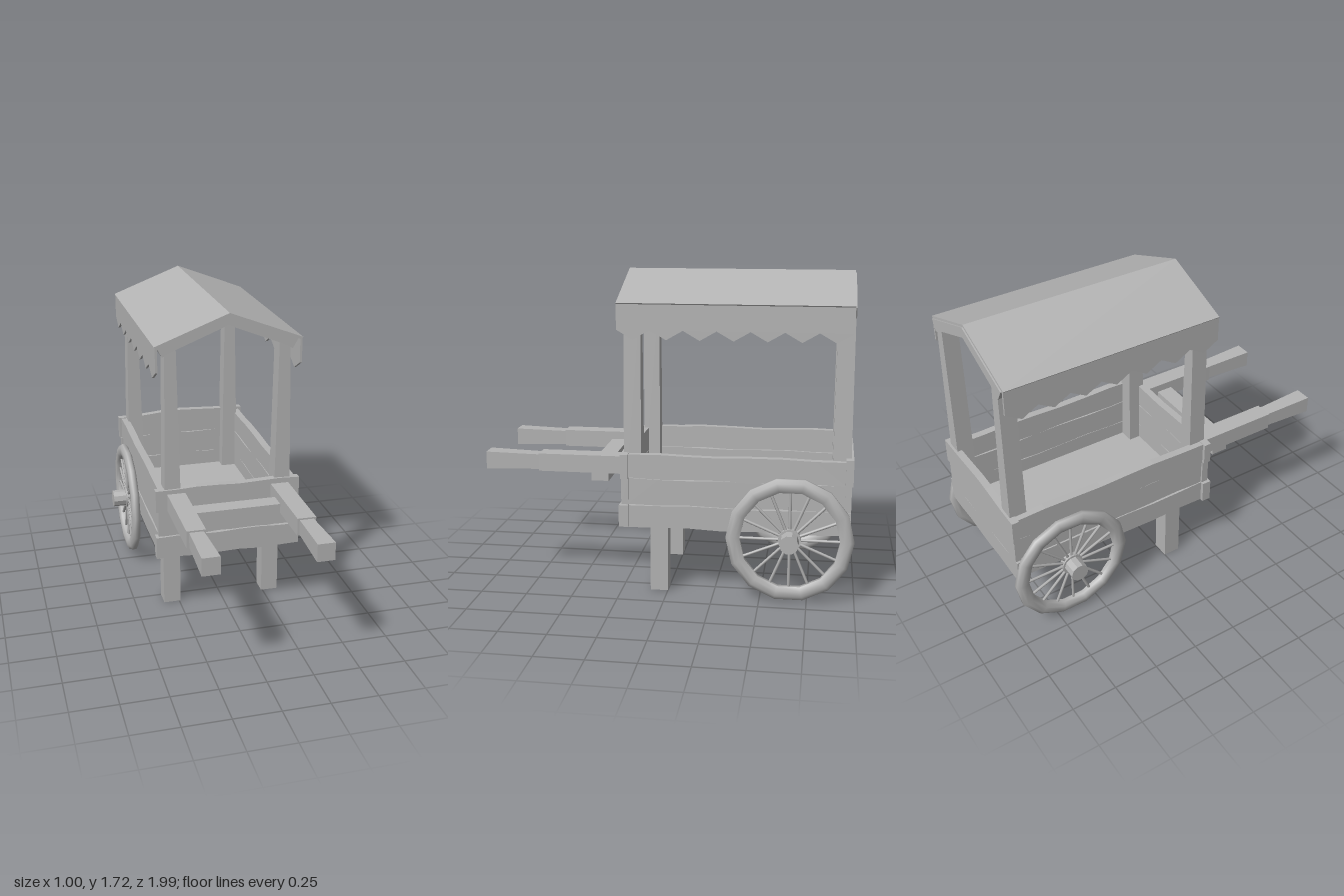
import * as THREE from 'three';

export function createModel() {
  const cart = new THREE.Group();
  cart.name = 'handcart';
  const wood = new THREE.MeshStandardMaterial({ color: 0xb4b4b4 });
  wood.name = 'grey wood';

  const add = (name, geometry, parent = cart) => {
    const mesh = new THREE.Mesh(geometry, wood);
    mesh.name = name;
    parent.add(mesh);
    return mesh;
  };
  // box given by its limits on each axis
  const block = (name, x0, x1, y0, y1, z0, z1) =>
    add(name, new THREE.BoxGeometry(x1 - x0, y1 - y0, z1 - z0)
      .translate((x0 + x1) / 2, (y0 + y1) / 2, (z0 + z1) / 2));
  // outline in x, y extruded from z0 to z1
  const prism = (pts, z0, z1) => new THREE.ExtrudeGeometry(
    new THREE.Shape(pts.map(p => new THREE.Vector2(...p))),
    { depth: z1 - z0, bevelEnabled: false }).translate(0, 0, z0);
  // box along y whose top is scaled by sx, sz
  const taper = (w, h, d, sx, sz) => {
    const g = new THREE.BoxGeometry(w, h, d);
    const p = g.attributes.position;
    for (let i = 0; i < p.count; i++) {
      if (p.getY(i) > 0) p.setXYZ(i, p.getX(i) * sx, p.getY(i), p.getZ(i) * sz);
    }
    g.computeVertexNormals();
    return g;
  };
  // plank outline with slightly worn long edges
  const plank = (u0, u1, y0, y1, seed, wear = 0.004) => {
    const low = [], high = [], n = 7;
    for (let i = 0; i <= n; i++) {
      const u = u0 + (u1 - u0) * i / n;
      low.push([u, y0 + wear * Math.sin(i * 2.1 + seed)]);
      high.unshift([u, y1 + wear * Math.sin(i * 1.7 + seed * 2)]);
    }
    return [...low, ...high];
  };

  // end boards: bottom, top, half width, outward offset
  const rows = [[0.37, 0.495, 0.405, 0.012], [0.495, 0.638, 0.39, 0], [0.64, 0.77, 0.403, 0.003]];
  rows.forEach(([y0, y1, w, o], i) => {
    add('frontPlank', prism(plank(-w, w, y0, y1, i), 0.205, 0.243 + o));
    if (i < 2) add('backPlank', prism(plank(-w, w, y0, y1, i + 4), -0.968, -0.935));
  });
  // top back board rises a little in the middle
  add('backPlank', prism([[-0.4, 0.64], [0.4, 0.64], [0.4, 0.78], [0.22, 0.782], [0, 0.792],
    [-0.1, 0.788], [-0.28, 0.772], [-0.4, 0.77]], -0.975, -0.935));

  // side boards
  for (const s of [-1, 1]) {
    rows.forEach(([y0, y1], i) => {
      const t = i === 1 ? 0.036 : 0.042;
      const pts = plank(-0.94, 0.21, y0, y1 - 0.003, i + s + 2);
      add('sidePlank', prism(pts, -t / 2, t / 2).rotateY(-Math.PI / 2)
        .translate(s * (0.343 + t / 2), 0, 0));
    });
  }
  block('floor', -0.36, 0.36, 0.385, 0.405, -0.95, 0.22);

  // legs, handles and grips
  for (const s of [-1, 1]) {
    block('leg', s * 0.29 - 0.048, s * 0.29 + 0.048, 0, 0.39, 0, 0.095);
    block('handle', s * 0.29 - 0.05, s * 0.29 + 0.05, 0.648, 0.744, 0.235, 0.705);
    add('grip', taper(0.075, 0.3, 0.08, 1.25, 1.2).rotateX(Math.PI / 2)
      .translate(s * 0.289, 0.695, 0.85));
  }
  block('crossbar', -0.32, 0.32, 0.6, 0.7, 0.325, 0.42);

  // corner posts and roof beams
  for (const z of [0.187, -0.915]) {
    for (const s of [-1, 1]) {
      add('post', taper(0.1, 1.14, 0.096, 0.6, 0.92).translate(s * 0.308, 0.975, z));
    }
    add('roofBeam', prism([[0, 1.65], [0.275, 1.54], [0.35, 1.503], [0.382, 1.56], [0, 1.707],
      [-0.382, 1.56], [-0.35, 1.503], [-0.275, 1.54]], z - 0.047, z + 0.047));
  }

  // roof sheet with a zigzag valance along each eave
  add('roof', prism([[0, 1.703], [0.388, 1.555], [0.397, 1.568], [0, 1.72],
    [-0.397, 1.568], [-0.388, 1.555]], -0.955, 0.26));
  const teeth = 7, pitch = 1.215 / teeth;
  const zigzag = [[0.26, 1.565], [-0.955, 1.565], [-0.955, 1.43]];
  for (let i = 0; i < teeth; i++) {
    zigzag.push([-0.955 + (i + 0.5) * pitch, 1.38], [-0.955 + (i + 1) * pitch, 1.43]);
  }
  for (const s of [-1, 1]) {
    add('valance', prism(zigzag, -0.006, 0.006).rotateY(-Math.PI / 2).translate(s * 0.387, 0, 0));
  }

  // axle and wheels
  const axleY = 0.345, axleZ = -0.655;
  add('axle', new THREE.CylinderGeometry(0.042, 0.042, 0.8, 8).rotateZ(Math.PI / 2)
    .translate(0, axleY, axleZ));
  const rimProfile = [[0.262, -0.012], [0.285, -0.026], [0.315, -0.024], [0.336, -0.01],
    [0.336, 0.01], [0.315, 0.024], [0.285, 0.026], [0.262, 0.012], [0.262, -0.012]]
    .map(p => new THREE.Vector2(...p));
  for (const s of [-1, 1]) {
    const wheel = new THREE.Group();
    wheel.name = s > 0 ? 'leftWheel' : 'rightWheel';
    wheel.position.set(s * 0.409, axleY, axleZ);
    add('rim', new THREE.LatheGeometry(rimProfile, 14).rotateZ(Math.PI / 2), wheel);
    const hub = new THREE.CylinderGeometry(0.05, 0.05, 0.125, 10).toNonIndexed();
    hub.computeVertexNormals();
    add('hub', hub.rotateZ(Math.PI / 2).translate(s * 0.029, 0, 0), wheel);
    add('hubCollar', new THREE.CylinderGeometry(0.06, 0.06, 0.03, 16).rotateZ(Math.PI / 2), wheel);
    for (let i = 0; i < 16; i++) {
      add('spoke', new THREE.CylinderGeometry(0.008, 0.008, 0.24, 6).translate(0, 0.155, 0)
        .rotateX(i * Math.PI / 8), wheel);
    }
    cart.add(wheel);
  }
  return cart;
}
